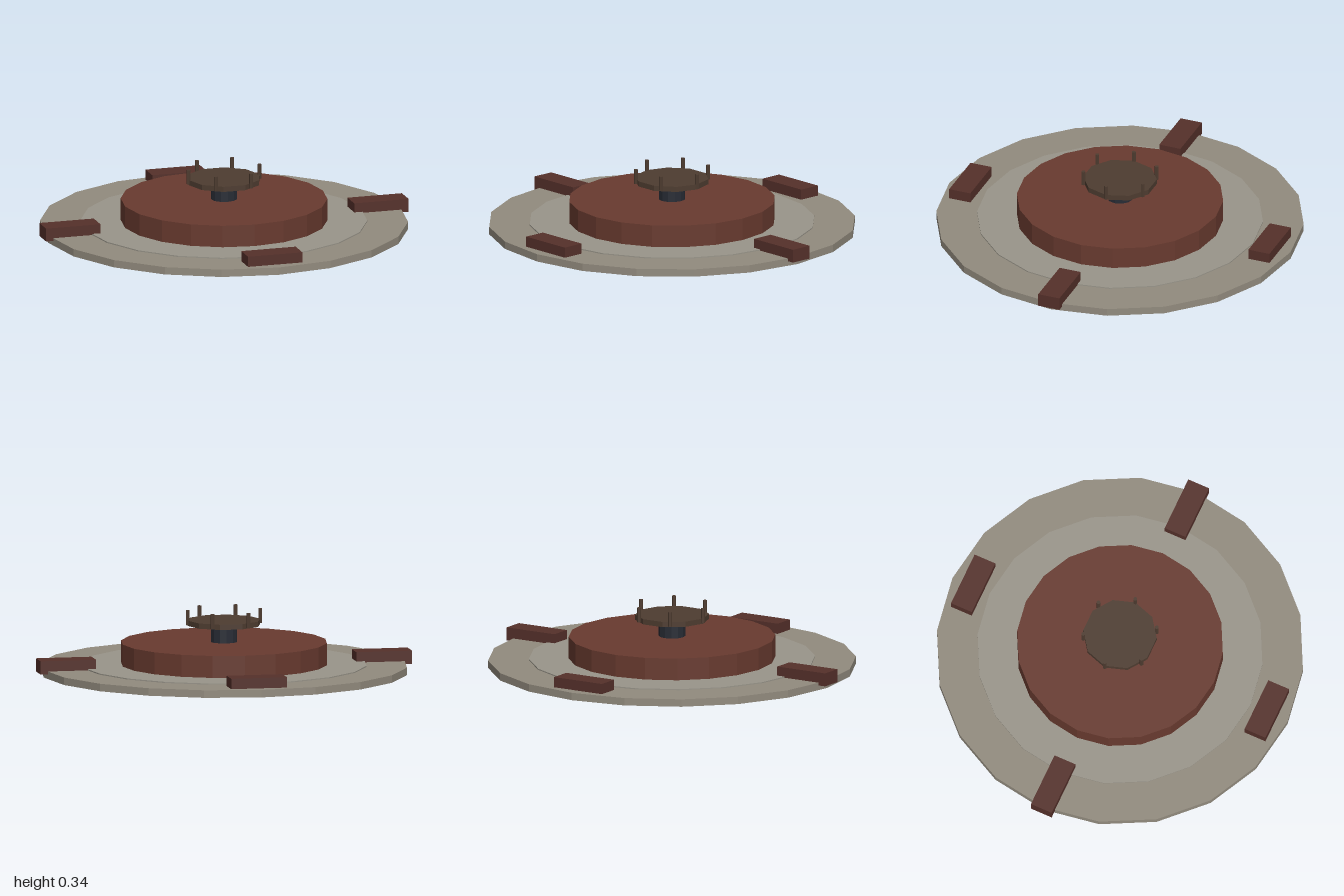
import * as THREE from 'three';

const mat = (color) => new THREE.MeshStandardMaterial({ color, flatShading: true, side: THREE.DoubleSide });
const stone = mat(0x928b7e);
const paving = mat(0x99958a);
const brick = mat(0x683a2f);
const bench = mat(0x55302a);
const bronze = mat(0x4e3c30);
const iron = mat(0x282c35);

function add(parent, name, geometry, material, x = 0, y = 0, z = 0) {
  const mesh = new THREE.Mesh(geometry, material);
  mesh.name = name;
  mesh.position.set(x, y, z);
  parent.add(mesh);
  return mesh;
}

// Faceted disc with a rim and a top but no underside
function openDisc(radius, bottom, top, sides) {
  const profile = [[radius, bottom], [radius, top], [0, top]].map(([r, y]) => new THREE.Vector2(r, y));
  return new THREE.LatheGeometry(profile, sides);
}

export function createModel() {
  const model = new THREE.Group();
  model.name = 'plaza';

  // Stepped round floor and raised platform
  add(model, 'outerFloor', openDisc(0.97, 0, 0.04, 20), stone);
  add(model, 'innerFloor', openDisc(0.755, 0.02, 0.046, 20), paving);
  add(model, 'platform', openDisc(0.545, 0.015, 0.163, 20), brick);

  // Four benches, all with the long side along x
  const benchShape = new THREE.BoxGeometry(0.3, 0.07, 0.12);
  for (const [x, z] of [[0.85, 0], [-0.85, 0], [0, 0.85], [0, -0.85]]) {
    add(model, 'bench', benchShape, bench, x, 0.06, z);
  }

  // Central stem carrying a bowl plate
  add(model, 'stem', new THREE.CylinderGeometry(0.07, 0.07, 0.1, 12), iron, 0, 0.205, 0);
  const plate = add(model, 'plate', new THREE.CylinderGeometry(0.195, 0.195, 0.028, 10), bronze, 0, 0.266, 0);
  plate.rotation.y = Math.PI / 2;

  // Six upright prongs around the plate
  const prongShape = new THREE.CylinderGeometry(0.011, 0.011, 0.078, 6);
  for (let i = 0; i < 6; i++) {
    const a = (i * Math.PI) / 3;
    add(model, 'prong', prongShape, bronze, 0.195 * Math.cos(a), 0.296, 0.195 * Math.sin(a));
  }
  return model;
}
